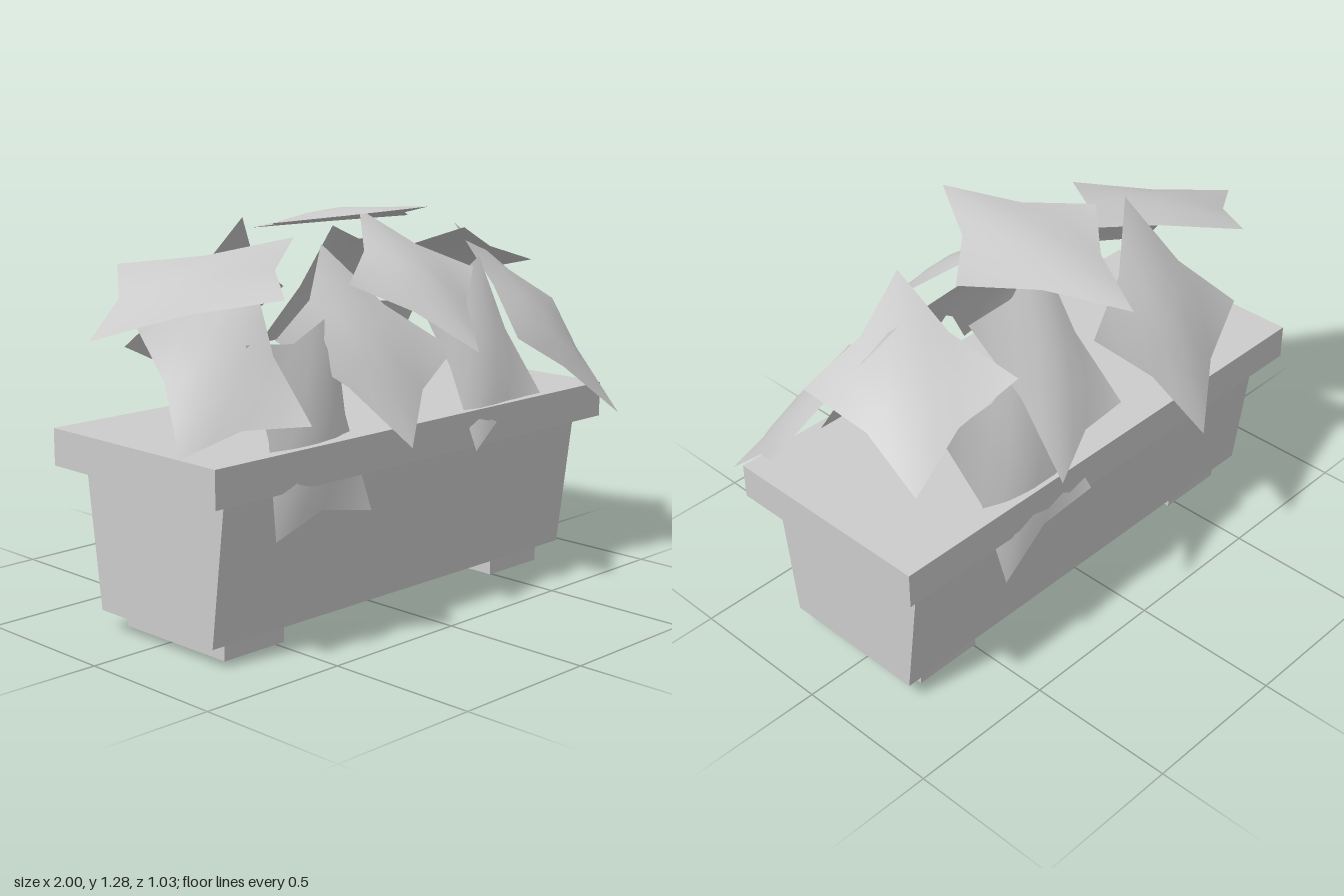
import * as THREE from 'three';

const grey = new THREE.MeshStandardMaterial({ color: 0xcccccc });
const leafGrey = new THREE.MeshStandardMaterial({ color: 0xcccccc, side: THREE.DoubleSide });

function block(name, w, h, d, x, y, z) {
  const mesh = new THREE.Mesh(new THREE.BoxGeometry(w, h, d), grey);
  mesh.name = name;
  mesh.position.set(x, y, z);
  return mesh;
}

// Four-pointed leaf: corners a, b, c, d in order, edges pinched in, middle bulging outward
function leaf(name, ...corners) {
  const [a, b, c, d] = corners.map((p) => new THREE.Vector3(...p));
  const middle = a.clone().add(b).add(c).add(d).multiplyScalar(0.25);
  const normal = c.clone().sub(a).cross(d.clone().sub(b)).normalize();
  if (normal.dot(middle.clone().sub(new THREE.Vector3(0, 0.5, 0))) < 0) normal.negate();

  const geometry = new THREE.PlaneGeometry(2, 2, 4, 4);
  const pos = geometry.attributes.position;
  for (let i = 0; i < pos.count; i++) {
    const u = pos.getX(i), v = pos.getY(i);
    const pu = u * (1 - 0.16 * (1 - Math.abs(v)));
    const pv = v * (1 - 0.16 * (1 - Math.abs(u)));
    const s = (pu + 1) / 2, t = (pv + 1) / 2;
    const low = a.clone().lerp(b, s);
    const high = d.clone().lerp(c, s);
    const p = low.lerp(high, t);
    p.addScaledVector(normal, 0.035 * (1 - u * u) * (1 - v * v));
    pos.setXYZ(i, p.x, p.y, p.z);
  }
  geometry.computeVertexNormals();
  const mesh = new THREE.Mesh(geometry, leafGrey);
  mesh.name = name;
  return mesh;
}

export function createModel() {
  const model = new THREE.Group();
  model.name = 'planter';

  // Trough, narrower in depth towards the bottom
  const trough = block('trough', 1.59, 0.455, 0.63, 0.013, 0.29, 0.017);
  const pos = trough.geometry.attributes.position;
  for (let i = 0; i < pos.count; i++) {
    if (pos.getY(i) < 0) pos.setZ(i, pos.getZ(i) * 0.815);
  }
  trough.geometry.computeVertexNormals();
  model.add(trough);

  // Rim with its closed top, and two feet
  model.add(block('rim', 1.745, 0.117, 0.738, 0.013, 0.572, 0.015));
  for (const side of [-1, 1]) {
    model.add(block(side < 0 ? 'rightFoot' : 'leftFoot', 0.24, 0.065, 0.45, 0.013 + side * 0.6, 0.0325, 0.015));
  }

  // Leaves arranged as a loose dome
  const foliage = new THREE.Group();
  foliage.name = 'foliage';
  foliage.add(
    leaf('topLeaf', [0.04, 1.16, -0.44], [0.35, 1.21, -0.02], [0.05, 1.285, 0.34], [-0.26, 1.23, -0.02]),
    leaf('frontCentreLeaf', [0.1, 0.85, 0.51], [0.38, 1.06, 0.24], [0.1, 1.25, 0], [-0.19, 1.06, 0.24]),
    leaf('rightUpperLeaf', [-1, 0.96, 0.02], [-0.62, 1.11, -0.33], [-0.17, 1.18, -0.02], [-0.54, 1.06, 0.33]),
    leaf('leftUpperLeaf', [0.38, 1.185, 0.2], [0.84, 1.03, 0.11], [0.85, 0.895, -0.36], [0.4, 1.05, -0.32]),
    leaf('leftFrontLeaf', [1, 0.875, 0.08], [0.85, 0.545, 0.49], [0.42, 0.84, 0.4], [0.57, 1.17, -0.01]),
    leaf('rightFrontLeaf', [-0.945, 0.665, 0.335], [-0.57, 0.72, 0.47], [-0.46, 1.075, 0.12], [-0.84, 1.02, 0]),
    leaf('rightLowLeaf', [-0.665, 0.39, 0.42], [-0.235, 0.395, 0.38], [-0.22, 0.975, 0.2], [-0.62, 0.93, 0.25]),
    leaf('frontMiddleLeaf', [-0.13, 0.58, 0.45], [0.13, 0.84, 0.38], [-0.17, 1.17, 0.1], [-0.43, 0.91, 0.17]),
    leaf('leftLowLeaf', [0.2, 0.51, 0.42], [0.6, 0.62, 0.36], [0.55, 1.07, 0.12], [0.18, 1, 0.16]),
    leaf('backRightLeaf', [-0.23, 0.61, -0.52], [-0.6, 0.85, -0.33], [-0.33, 1.25, -0.08], [0.03, 0.98, -0.28]),
    leaf('backLeftLeaf', [0.36, 0.72, -0.46], [0.4, 1.14, -0.12], [0.02, 1.2, -0.04], [0, 0.78, -0.37]),
    leaf('backLowLeaf', [0.52, 0.385, -0.38], [0.13, 0.52, -0.37], [0.2, 1, -0.18], [0.6, 0.88, -0.2]),
  );
  model.add(foliage);
  return model;
}
